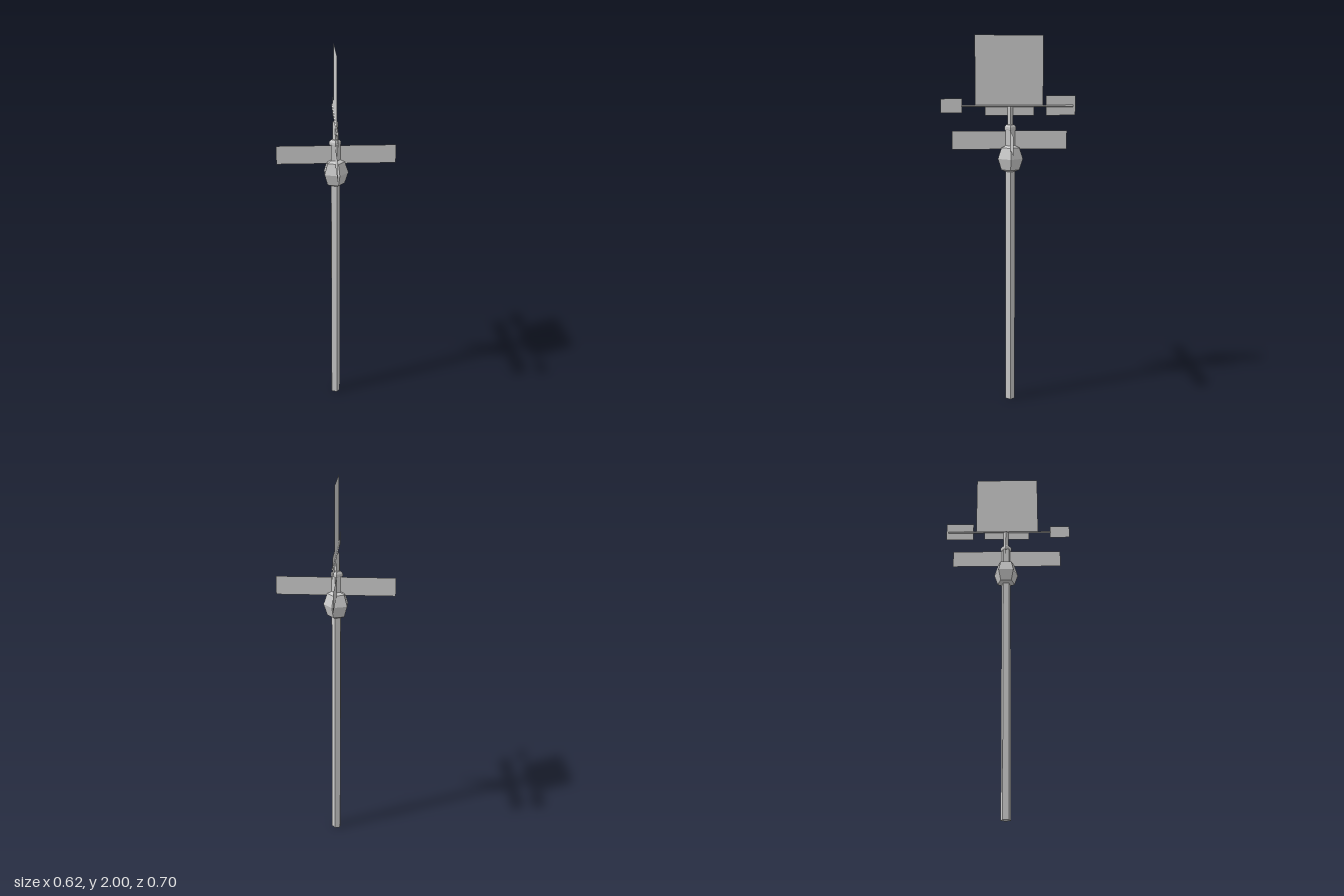
import * as THREE from 'three';

const AXIS = -0.008; // x and z of the mast axis

const solid = new THREE.MeshStandardMaterial({ color: 0xcccccc, flatShading: true });
const sheet = new THREE.MeshStandardMaterial({ color: 0xcccccc, side: THREE.DoubleSide });

export function createModel() {
  const model = new THREE.Group();

  // Faceted turned part: profile of [radius, y] from bottom to top, one corner facing +x
  function turned(name, sides, profile) {
    const points = profile.map(([r, y]) => new THREE.Vector2(r, y));
    const mesh = new THREE.Mesh(new THREE.LatheGeometry(points, sides, Math.PI / 2), solid);
    mesh.name = name;
    mesh.position.set(AXIS, 0, AXIS);
    model.add(mesh);
  }

  // Thin upright sheet spanning a..b along x or z, and y0..y1 in height
  function panel(name, along, a, b, y0, y1) {
    const mesh = new THREE.Mesh(new THREE.PlaneGeometry(b - a, y1 - y0), sheet);
    mesh.name = name;
    const mid = (a + b) / 2;
    if (along === 'z') mesh.rotation.y = Math.PI / 2;
    mesh.position.set(along === 'x' ? mid : AXIS, (y0 + y1) / 2, along === 'z' ? mid : AXIS);
    model.add(mesh);
  }

  // Mast, ball finial, collar and spindle
  turned('mast', 5, [[0, 0], [0.0265, 0], [0.0265, 1.515], [0, 1.515]]);
  turned('ball', 5, [[0, 1.283], [0.05, 1.305], [0.0695, 1.364], [0.05, 1.422], [0, 1.445]]);
  turned('collar', 4, [[0, 1.505], [0.027, 1.511], [0.031, 1.517], [0.031, 1.53], [0.021, 1.542], [0, 1.546]]);
  turned('spindle', 4, [[0, 1.53], [0.014, 1.53], [0.014, 1.636], [0, 1.636]]);

  // Crossed direction boards
  panel('crossBoardSideways', 'x', -0.312, 0.307, 1.413, 1.51);
  panel('crossBoardLengthways', 'z', -0.307, 0.298, 1.413, 1.51);

  // Rotating arm, a slim four-sided bar
  const bar = new THREE.CylinderGeometry(0.0055, 0.0055, 0.585, 4);
  bar.rotateX(Math.PI / 2);
  const arm = new THREE.Mesh(bar, solid);
  arm.name = 'vaneArm';
  arm.position.set(AXIS, 1.639, -0.046);
  model.add(arm);

  // Vane silhouettes carried on the arm
  panel('vaneFigure', 'z', -0.18, 0.175, 1.638, 2);
  panel('vaneBracket', 'z', -0.132, 0.123, 1.59, 1.638);
  panel('arrowHead', 'z', 0.244, 0.355, 1.603, 1.677);
  panel('arrowTail', 'z', -0.35, -0.195, 1.59, 1.693);

  return model;
}
